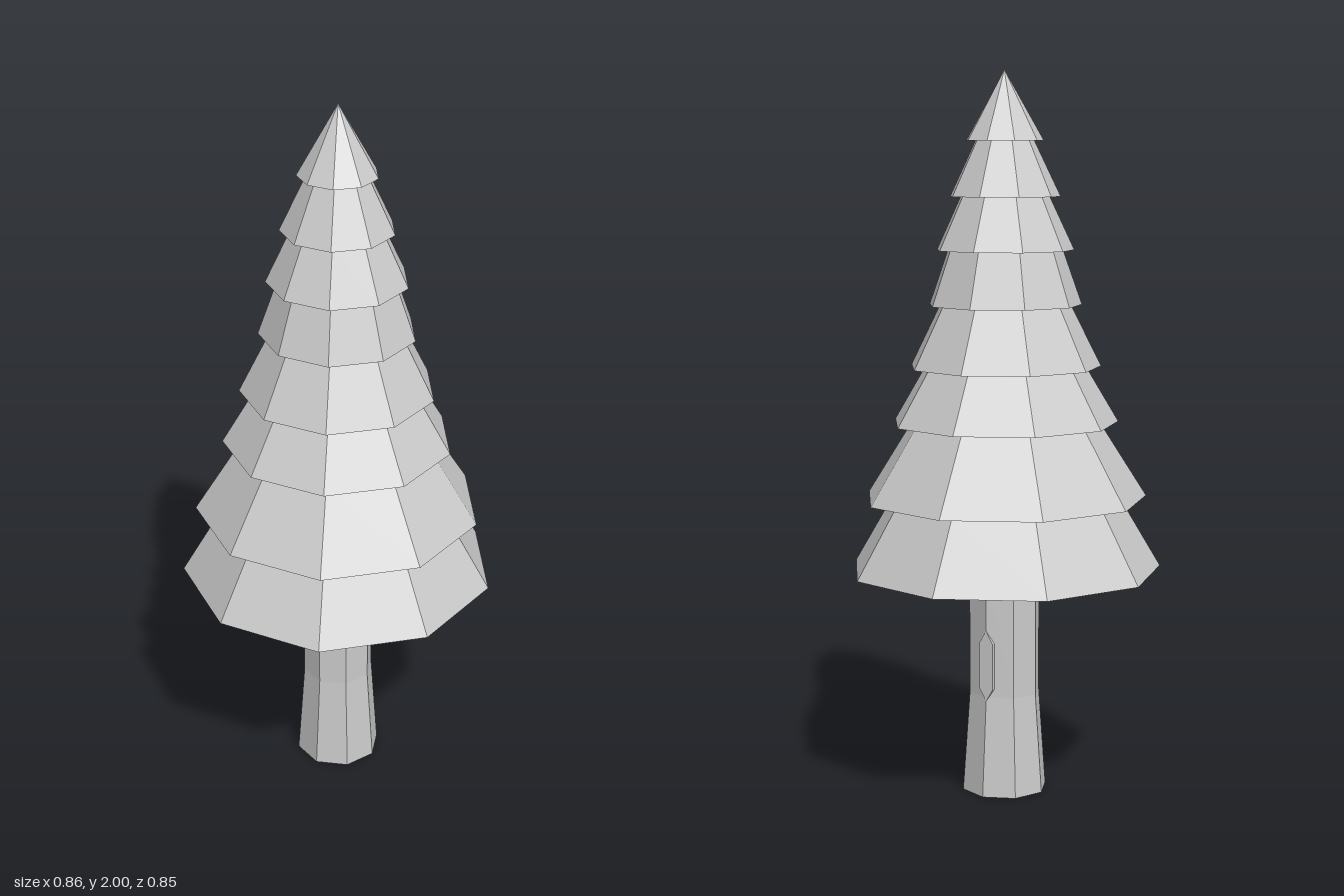
import * as THREE from 'three';

const material = new THREE.MeshStandardMaterial({ color: 0xcccccc, flatShading: true });

// Faceted solid of revolution from a profile of [radius, y], listed upwards
function faceted(name, profile, sides, phase) {
  const points = profile.map(([r, y]) => new THREE.Vector2(r, y));
  const mesh = new THREE.Mesh(new THREE.LatheGeometry(points, sides, phase), material);
  mesh.name = name;
  return mesh;
}

export function createModel() {
  const tree = new THREE.Group();
  tree.name = 'coniferTree';

  const body = new THREE.Group();
  body.name = 'treeBody';
  body.position.z = 0.013;
  tree.add(body);

  // Octagonal trunk, flared at the foot
  body.add(faceted('trunk', [[0, 0], [0.12, 0], [0.1, 0.28], [0.1, 0.64]], 8, 0));

  // Foliage tiers: [rim height, rim radius, radius where the next tier begins]
  const tiers = [
    [0.63, 0.438, 0.32],
    [0.83, 0.397, 0.264],
    [1.04, 0.317, 0.225],
    [1.195, 0.268, 0.183],
    [1.365, 0.214, 0.161],
    [1.515, 0.192, 0.124],
    [1.66, 0.154, 0.082],
    [1.81, 0.108, 0],
  ];
  const profile = [[0, tiers[0][0]]];
  tiers.forEach(([y, rim, top], i) => {
    const next = i + 1 < tiers.length ? tiers[i + 1][0] : 2;
    profile.push([rim, y], [top, next]);
  });
  body.add(faceted('foliage', profile, 9, Math.PI));

  // Small flat hexagonal knot on the back corner of the trunk
  const outline = [[0, -0.1], [0.021, -0.065], [0.021, 0.065], [0, 0.1], [-0.021, 0.065], [-0.021, -0.065]];
  const shape = new THREE.Shape(outline.map(([x, y]) => new THREE.Vector2(x, y)));
  const knotGeometry = new THREE.ExtrudeGeometry(shape, { depth: 0.02, bevelEnabled: false });
  knotGeometry.translate(0, 0.37, 0.081);
  const knot = new THREE.Mesh(knotGeometry, material);
  knot.name = 'trunkKnot';
  knot.rotation.y = Math.PI * 0.75;
  body.add(knot);

  return tree;
}
